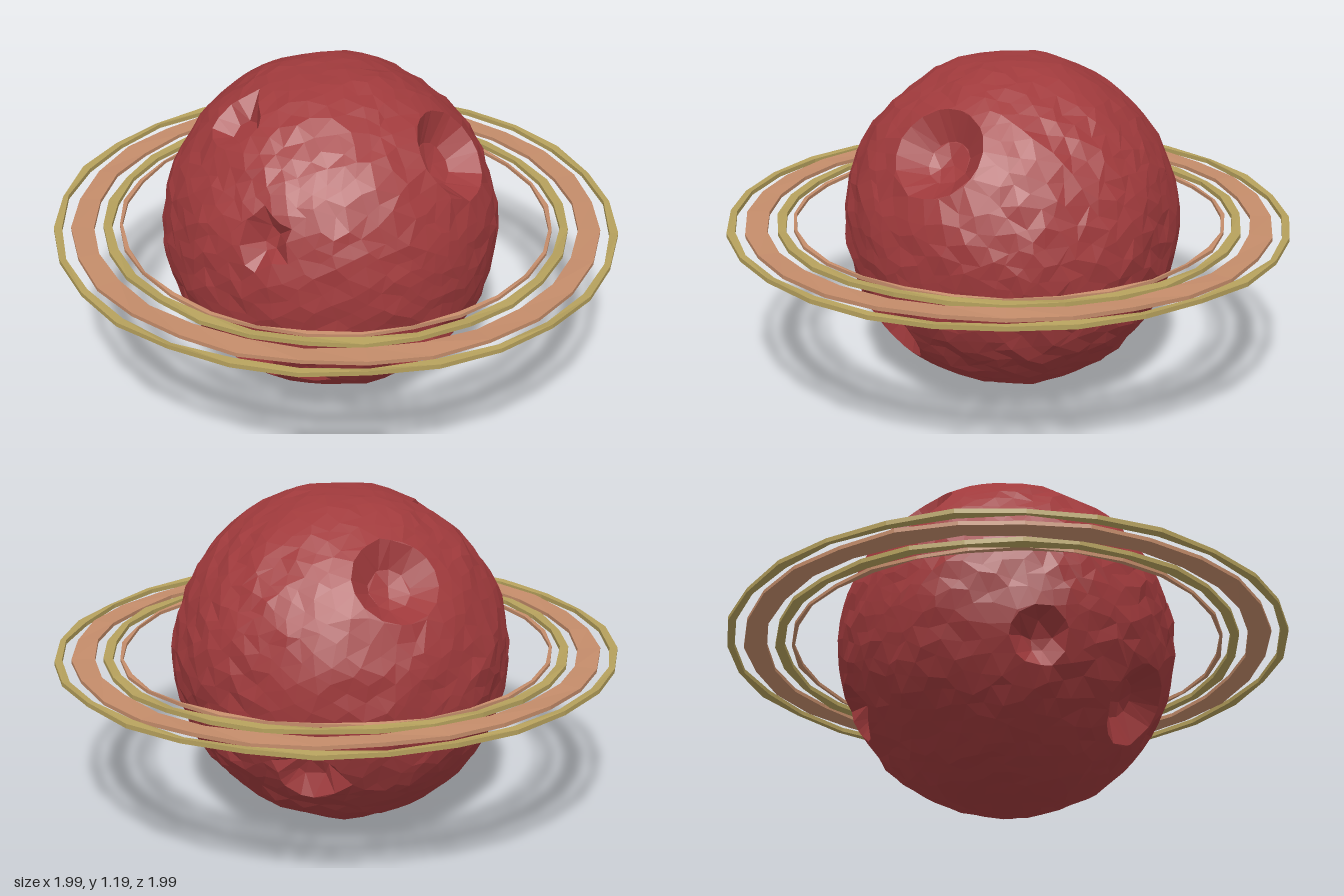
import * as THREE from 'three';

const RADIUS = 0.595;

// Crater: direction from the planet centre, rim radius, depth
const CRATERS = [
  [[-0.04, 0.21, 0.55], 0.085, 0.07],
  [[-0.24, 0.47, 0.27], 0.10, 0.07],
  [[-0.36, 0.39, -0.27], 0.155, 0.09],
  [[0.47, 0.38, 0.05], 0.165, 0.11],
  [[-0.16, -0.32, 0.48], 0.15, 0.10],
  [[0.44, -0.30, 0.26], 0.15, 0.10],
  [[0.09, -0.32, 0.49], 0.08, 0.025],
  [[-0.16, -0.27, -0.50], 0.11, 0.07],
  [[-0.53, -0.20, 0.20], 0.10, 0.06],
].map(([dir, rim, depth]) => ({ dir: new THREE.Vector3(...dir).normalize(), rim, depth }));

// Repeatable roughness that is continuous in space
function bumps(v) {
  return 0.007 * Math.sin(9 * v.x + 4 * v.y + 1) * Math.sin(8 * v.z - 5 * v.y)
    + 0.006 * Math.sin(31 * v.x + 17 * v.z) * Math.sin(29 * v.y + 13 * v.x + 2);
}

// Push one point of the unit sphere onto the cratered surface
function shapePoint(v) {
  // Slide the point sideways so the facets become irregular
  const n = v.clone();
  n.x += 0.022 * Math.sin(37 * v.y + 19 * v.z);
  n.y += 0.022 * Math.sin(41 * v.z + 23 * v.x);
  n.z += 0.022 * Math.sin(35 * v.x + 27 * v.y);
  n.normalize();
  let r = RADIUS + bumps(n);
  for (const { dir, rim, depth } of CRATERS) {
    const d = n.angleTo(dir) * RADIUS / rim;
    if (d > 1.3) continue;
    // Gather points into a floor ring and a rim ring for a crisp bowl
    let ring = d;
    if (d > 0.78) {
      ring = 1 + Math.max(0, d - 1.2);
      r = RADIUS + 0.004;
    } else {
      ring = d > 0.3 ? 0.56 : d;
      r = RADIUS - depth * (d > 0.3 ? 0.82 : 1);
    }
    const side = n.clone().addScaledVector(dir, -n.dot(dir)).normalize();
    const a = ring * rim / RADIUS;
    n.copy(dir).multiplyScalar(Math.cos(a)).addScaledVector(side, Math.sin(a));
    break;
  }
  return n.multiplyScalar(r);
}

function makePlanet() {
  const geo = new THREE.IcosahedronGeometry(1, 11);
  const pos = geo.attributes.position;
  const v = new THREE.Vector3();
  for (let i = 0; i < pos.count; i++) {
    const p = shapePoint(v.fromBufferAttribute(pos, i).normalize());
    pos.setXYZ(i, p.x, p.y, p.z);
  }
  geo.computeVertexNormals();
  const mesh = new THREE.Mesh(geo, new THREE.MeshStandardMaterial({ color: 0xa03a3c, flatShading: true }));
  mesh.name = 'crateredPlanet';
  mesh.position.set(-0.02, 0.6, 0);
  return mesh;
}

// Thin flat band with a slightly uneven edge
function makeRing(name, inner, outer, thick, color, phase) {
  const h = thick / 2;
  const profile = [[outer, -h], [outer, h], [inner, h], [inner, -h], [outer, -h]]
    .map(([x, y]) => new THREE.Vector2(x, y));
  const geo = new THREE.LatheGeometry(profile, 28);
  const pos = geo.attributes.position;
  for (let i = 0; i < pos.count; i++) {
    const x = pos.getX(i), z = pos.getZ(i);
    const a = Math.atan2(z, x);
    const edge = Math.hypot(x, z) > (inner + outer) / 2 ? 0 : 2;
    const s = 1 + 0.003 * Math.sin(11 * a + phase + edge);
    const lift = 0.004 * Math.sin(3 * a + phase) + 0.003 * Math.sin(9 * a + edge + phase);
    pos.setXYZ(i, x * s, pos.getY(i) + lift - 0.006 * x + 0.006 * z, z * s);
  }
  geo.computeVertexNormals();
  const mesh = new THREE.Mesh(geo, new THREE.MeshStandardMaterial({ color, flatShading: true }));
  mesh.name = name;
  mesh.position.y = 0.612;
  return mesh;
}

export function createModel() {
  const model = new THREE.Group();
  model.name = 'ringedPlanet';
  model.add(makePlanet());

  // Four concentric rings, from the inside out
  const gold = 0xb5a05c, copper = 0xc48c6a;
  const rings = new THREE.Group();
  rings.name = 'rings';
  rings.add(
    makeRing('innermostRing', 0.756, 0.769, 0.012, copper, 0.4),
    makeRing('innerGoldRing', 0.793, 0.825, 0.016, gold, 1.7),
    makeRing('wideCopperRing', 0.858, 0.935, 0.014, copper, 3.1),
    makeRing('outerGoldRing', 0.972, 0.997, 0.016, gold, 4.6),
  );
  model.add(rings);
  return model;
}
